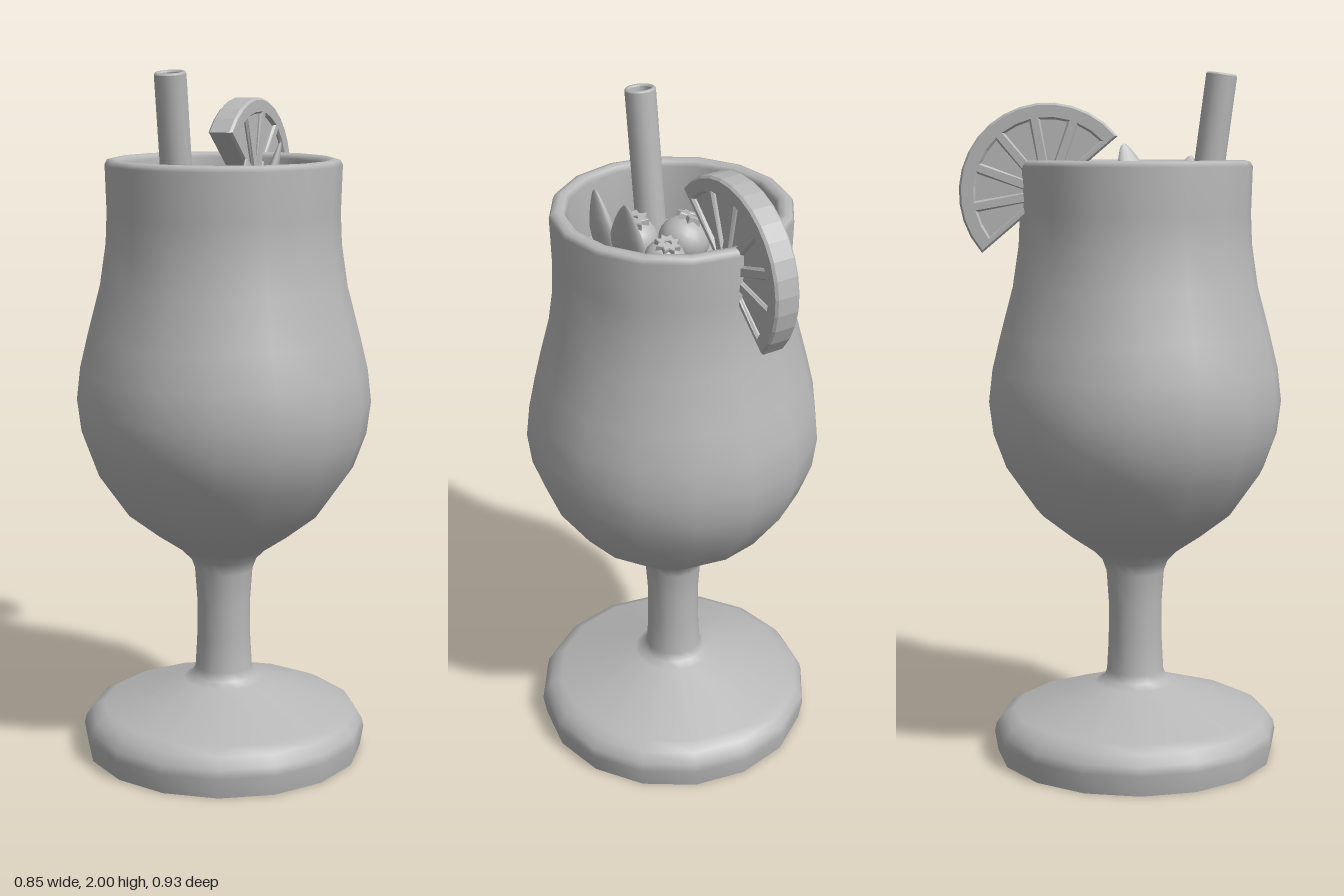
import * as THREE from 'three';

const material = new THREE.MeshStandardMaterial({ color: 0xb8b8b8 });
material.name = 'plain grey';

function add(parent, name, geometry) {
  const mesh = new THREE.Mesh(geometry, material);
  mesh.name = name;
  parent.add(mesh);
  return mesh;
}

const lathe = (points, sides) =>
  new THREE.LatheGeometry(points.map(([r, y]) => new THREE.Vector2(r, y)), sides);

// Half a citrus wheel: pith and rind with wedge-shaped openings over thinner flesh
function citrusSlice() {
  const slice = new THREE.Group();
  slice.name = 'citrusSlice';
  const radius = 0.247, segments = 6;
  const rind = new THREE.Shape();
  rind.absarc(0, 0, radius, 0, Math.PI, false);
  rind.closePath();
  const step = Math.PI / segments;
  for (let i = 0; i < segments; i++) {
    const a = i * step, mid = a + step / 2;
    const hole = new THREE.Path();
    hole.moveTo(0.045 * Math.cos(mid), 0.045 * Math.sin(mid));
    for (const t of [0.09, 0.5, 0.91]) {
      hole.lineTo(0.213 * Math.cos(a + t * step), 0.213 * Math.sin(a + t * step));
    }
    hole.closePath();
    rind.holes.push(hole);
  }
  const rindGeo = new THREE.ExtrudeGeometry(rind, {
    depth: 0.061, curveSegments: 8,
    bevelThickness: 0.007, bevelSize: 0.006, bevelSegments: 1,
  });
  add(slice, 'rindAndPith', rindGeo.translate(0, 0, -0.0305));

  const flesh = new THREE.Shape();
  flesh.absarc(0, 0, 0.225, 0, Math.PI, false);
  flesh.closePath();
  const fleshGeo = new THREE.ExtrudeGeometry(flesh, { depth: 0.052, curveSegments: 8, bevelEnabled: false });
  add(slice, 'flesh', fleshGeo.translate(0, 0, -0.026));
  return slice;
}

// Round berry with a star-shaped crown around a small dimple
function berry(radius, crownRadius) {
  const group = new THREE.Group();
  group.name = 'berry';
  add(group, 'berryBody', new THREE.SphereGeometry(radius, 20, 14)).scale.y = 0.92;
  const star = new THREE.Shape();
  for (let i = 0; i < 16; i++) {
    const r = i % 2 ? crownRadius * 0.66 : crownRadius;
    const a = (i * Math.PI) / 8;
    star[i ? 'lineTo' : 'moveTo'](r * Math.cos(a), r * Math.sin(a));
  }
  star.closePath();
  const hole = new THREE.Path();
  hole.absarc(0, 0, crownRadius * 0.34, 0, Math.PI * 2, true);
  star.holes.push(hole);
  const crown = new THREE.ExtrudeGeometry(star, {
    depth: 0.018, curveSegments: 10,
    bevelThickness: 0.003, bevelSize: 0.002, bevelSegments: 1,
  });
  crown.rotateX(-Math.PI / 2).translate(0, radius * 0.92 - 0.014, 0);
  add(group, 'berryCrown', crown);
  return group;
}

// Thick leaf narrowing to a point, running from base to tip
function leaf(base, tip, width, thickness, turn) {
  const dir = tip.clone().sub(base);
  const geo = new THREE.SphereGeometry(1, 14, 12);
  const pos = geo.attributes.position;
  for (let i = 0; i < pos.count; i++) {
    const y = pos.getY(i);
    const taper = 1 - 0.45 * Math.max(0, y);
    pos.setXYZ(i, pos.getX(i) * thickness * taper, y * dir.length() / 2, pos.getZ(i) * width * taper);
  }
  geo.rotateY(turn);
  geo.computeVertexNormals();
  const mesh = new THREE.Mesh(geo, material);
  mesh.name = 'leaf';
  mesh.position.copy(base).add(tip).multiplyScalar(0.5);
  mesh.quaternion.setFromUnitVectors(new THREE.Vector3(0, 1, 0), dir.normalize());
  return mesh;
}

export function createModel() {
  const model = new THREE.Group();
  model.name = 'cocktail';

  // Footed glass: outside from foot to rim, then down the inner wall
  const glass = new THREE.Group();
  glass.name = 'glass';
  glass.position.z = 0.04;
  model.add(glass);
  add(glass, 'glassShell', lathe([
    [0.41, 0], [0.42, 0.06], [0.415, 0.085], [0.395, 0.115], [0.36, 0.133],
    [0.12, 0.213], [0.095, 0.226], [0.084, 0.25], [0.079, 0.34], [0.078, 0.45],
    [0.085, 0.55], [0.098, 0.585], [0.13, 0.617], [0.2, 0.665], [0.29, 0.735], [0.378, 0.86],
    [0.415, 0.96], [0.427, 1.055], [0.416, 1.15], [0.392, 1.25], [0.355, 1.39],
    [0.337, 1.51], [0.333, 1.6], [0.337, 1.735], [0.33, 1.748], [0.315, 1.752],
    [0.298, 1.748], [0.29, 1.735], [0.289, 1.6], [0.292, 1.53],
  ], 16));
  add(glass, 'footUnderside', new THREE.CircleGeometry(0.41, 16).rotateX(Math.PI / 2));
  add(glass, 'drink', new THREE.CircleGeometry(0.292, 16).rotateX(-Math.PI / 2)).position.y = 1.57;

  // Hollow straw leaning forwards
  const straw = add(model, 'straw', lathe([
    [0.032, 0], [0.044, 0], [0.044, 0], [0.044, 0.585], [0.044, 0.585], [0.041, 0.59],
    [0.034, 0.59], [0.031, 0.585], [0.031, 0.585], [0.031, 0],
  ], 16));
  straw.position.set(-0.047, 1.41, 0.205);
  straw.rotation.x = 0.13;

  // Citrus slice hooked over the back of the rim
  const slice = citrusSlice();
  slice.position.set(-0.0375, 1.66, -0.21);
  slice.rotation.set(0, Math.PI / 2, -0.705);
  model.add(slice);

  // Berries: x, y, z, radius, crown radius, tilt about x and z
  for (const [x, y, z, r, c, tx, tz] of [
    [-0.067, 1.61, 0.085, 0.073, 0.042, 0, 0.4],
    [0.063, 1.62, 0.14, 0.069, 0.043, -0.05, -0.07],
    [0.043, 1.61, 0.01, 0.058, 0.034, -0.3, 0],
  ]) {
    const b = berry(r, c);
    b.position.set(x, y, z);
    b.rotation.set(tx, 0, tz);
    model.add(b);
  }

  // Leaves standing beside the berries
  const v = (x, y, z) => new THREE.Vector3(x, y, z);
  model.add(leaf(v(0.115, 1.55, 0.08), v(0.163, 1.8, 0.01), 0.058, 0.02, 0.35));
  model.add(leaf(v(0.13, 1.55, 0.165), v(0.145, 1.765, 0.21), 0.055, 0.02, 0.1));
  return model;
}
